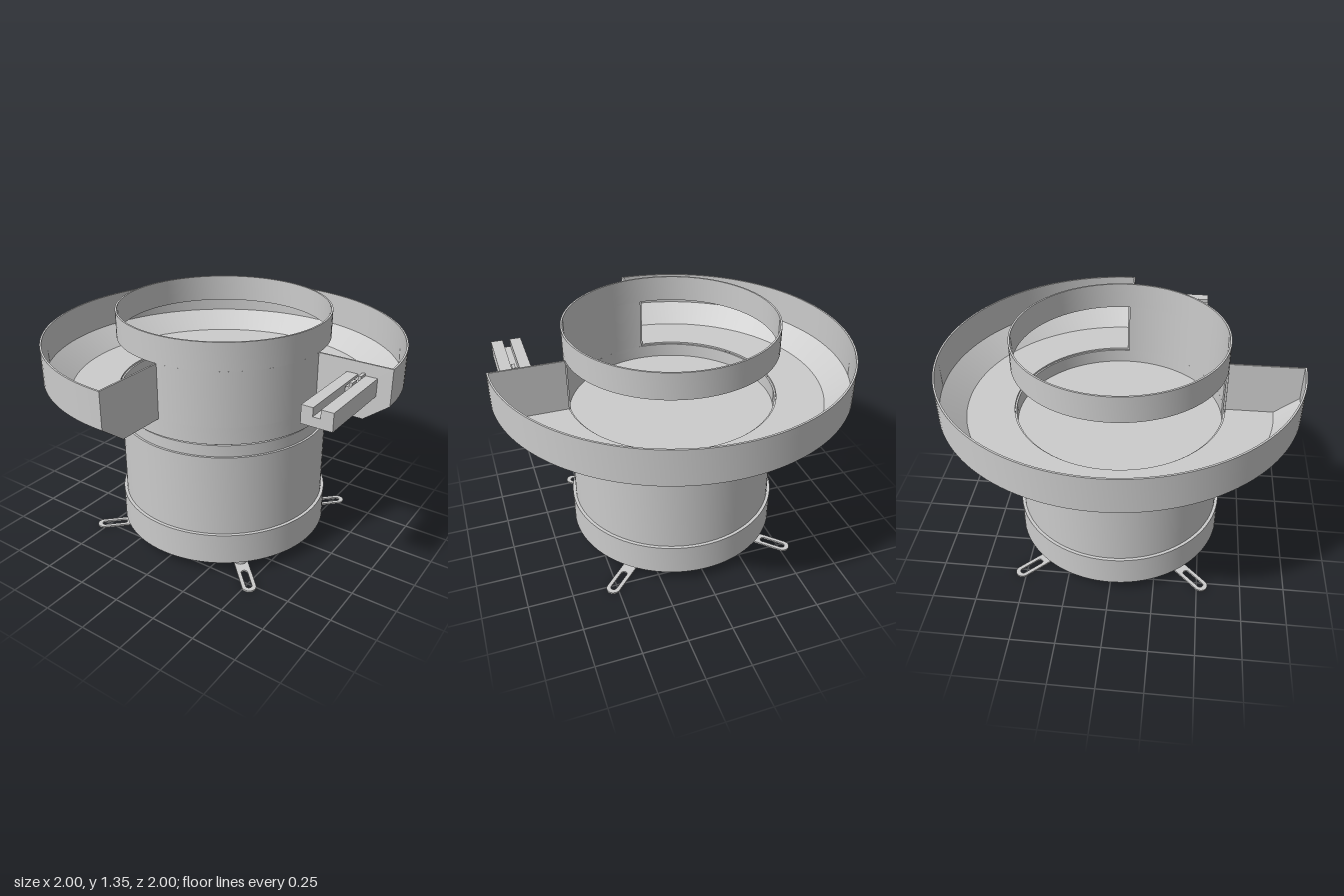
import * as THREE from 'three';
import { toCreasedNormals } from 'three/addons/utils/BufferGeometryUtils.js';

const material = new THREE.MeshStandardMaterial({ color: 0xcccccc, side: THREE.DoubleSide });

function add(parent, name, geometry, x = 0, y = 0, z = 0) {
  const mesh = new THREE.Mesh(geometry, material);
  mesh.name = name;
  mesh.position.set(x, y, z);
  parent.add(mesh);
  return mesh;
}

// Turned part: profile of [radius, height], outside going up
function turned(profile, start = 0, sweep = Math.PI * 2) {
  const pts = profile.map(([r, y]) => new THREE.Vector2(r, y));
  return toCreasedNormals(new THREE.LatheGeometry(pts, 96, start, sweep), 0.5);
}

function extruded(shape, depth) {
  return toCreasedNormals(
    new THREE.ExtrudeGeometry(shape, { depth, bevelEnabled: false, curveSegments: 32 }), 0.5);
}

function polygon(points) {
  return new THREE.Shape(points.map(([x, y]) => new THREE.Vector2(x, y)));
}

// Long hole or rounded bar between two centres on the x axis
function capsule(target, x0, x1, r) {
  target.moveTo(x0, -r);
  target.lineTo(x1, -r);
  target.absarc(x1, 0, r, -Math.PI / 2, Math.PI / 2, false);
  target.lineTo(x0, r);
  target.absarc(x0, 0, r, Math.PI / 2, Math.PI * 1.5, false);
  return target;
}

export function createModel() {
  const model = new THREE.Group();
  model.name = 'bowlFeeder';

  // Drive unit: base, body and stepped neck
  add(model, 'base', turned([[0, 0.07], [0.605, 0.07], [0.605, 0.25], [0.587, 0.25]]));
  add(model, 'body', turned([[0.587, 0.25], [0.587, 0.72], [0.575, 0.72]]));
  add(model, 'neck', turned([[0.575, 0.72], [0.575, 0.785], [0.565, 0.785], [0.565, 0.8]]));

  // Inner bowl: shallow pan, quarter wall and full upper band
  const R = 0.592, r = 0.582;
  add(model, 'pan', turned([[0, 0.8], [R, 0.8], [R, 0.895], [r, 0.895], [r, 0.815], [0, 0.815]]));
  const arc = new THREE.Shape();
  arc.absarc(0, 0, R, -Math.PI / 2, 0, false);
  arc.absarc(0, 0, r, 0, -Math.PI / 2, true);
  arc.closePath();
  add(model, 'quarterWall', extruded(arc, 0.305), 0, 0.895, 0).rotation.x = -Math.PI / 2;
  add(model, 'upperBand', turned([[r, 1.2], [R, 1.2], [R, 1.35], [r, 1.35], [r, 1.2]]));

  // Outer bowl over three quarters of a turn
  add(model, 'outerBowl', turned([
    [R, 0.895], [0.862, 0.895], [1, 1], [1, 1.2],
    [0.99, 1.2], [0.99, 1.006], [0.858, 0.905], [R, 0.905], [R, 0.895],
  ], Math.PI / 2, Math.PI * 1.5));

  // Plates closing both ends of the outer bowl
  const plate = extruded(
    polygon([[R, 0.895], [0.862, 0.895], [1, 1], [1, 1.2], [R, 1.2]]), 0.01);
  add(model, 'leftEndPlate', plate, 0, 0, -0.01);
  add(model, 'frontEndPlate', plate, -0.01, 0, 0).rotation.y = -Math.PI / 2;
  model.getObjectByName('frontEndPlate').position.x = 0;

  // Outlet track with a groove, and a small workpiece in it
  add(model, 'outletTrack', extruded(polygon([
    [0.755, 1.037], [0.922, 1.037], [0.922, 1.134], [0.857, 1.134],
    [0.857, 1.088], [0.817, 1.088], [0.817, 1.134], [0.755, 1.134],
  ]), 0.475));
  const workpiece = new THREE.Group();
  workpiece.name = 'workpiece';
  model.add(workpiece);
  add(workpiece, 'workpieceBar', new THREE.BoxGeometry(0.034, 0.035, 0.15), 0.837, 1.106, 0.075);
  for (const z of [0.025, 0.125]) {
    add(workpiece, 'workpieceEnd', new THREE.BoxGeometry(0.017, 0.057, 0.05), 0.847, 1.118, z);
  }

  // Four feet on the diagonals, each a post with a slotted tab
  const tab = capsule(new THREE.Shape(), 0.51, 0.74, 0.039);
  tab.holes.push(capsule(new THREE.Path(), 0.62, 0.735, 0.018));
  const tabGeometry = extruded(tab, 0.01);
  const postGeometry = new THREE.CylinderGeometry(0.038, 0.038, 0.065, 32);
  for (let i = 0; i < 4; i++) {
    const foot = new THREE.Group();
    foot.name = 'foot';
    foot.rotation.y = Math.PI / 4 + i * Math.PI / 2;
    add(foot, 'post', postGeometry, 0.51, 0.0405, 0);
    add(foot, 'slottedTab', tabGeometry).rotation.x = -Math.PI / 2;
    model.add(foot);
  }
  return model;
}
